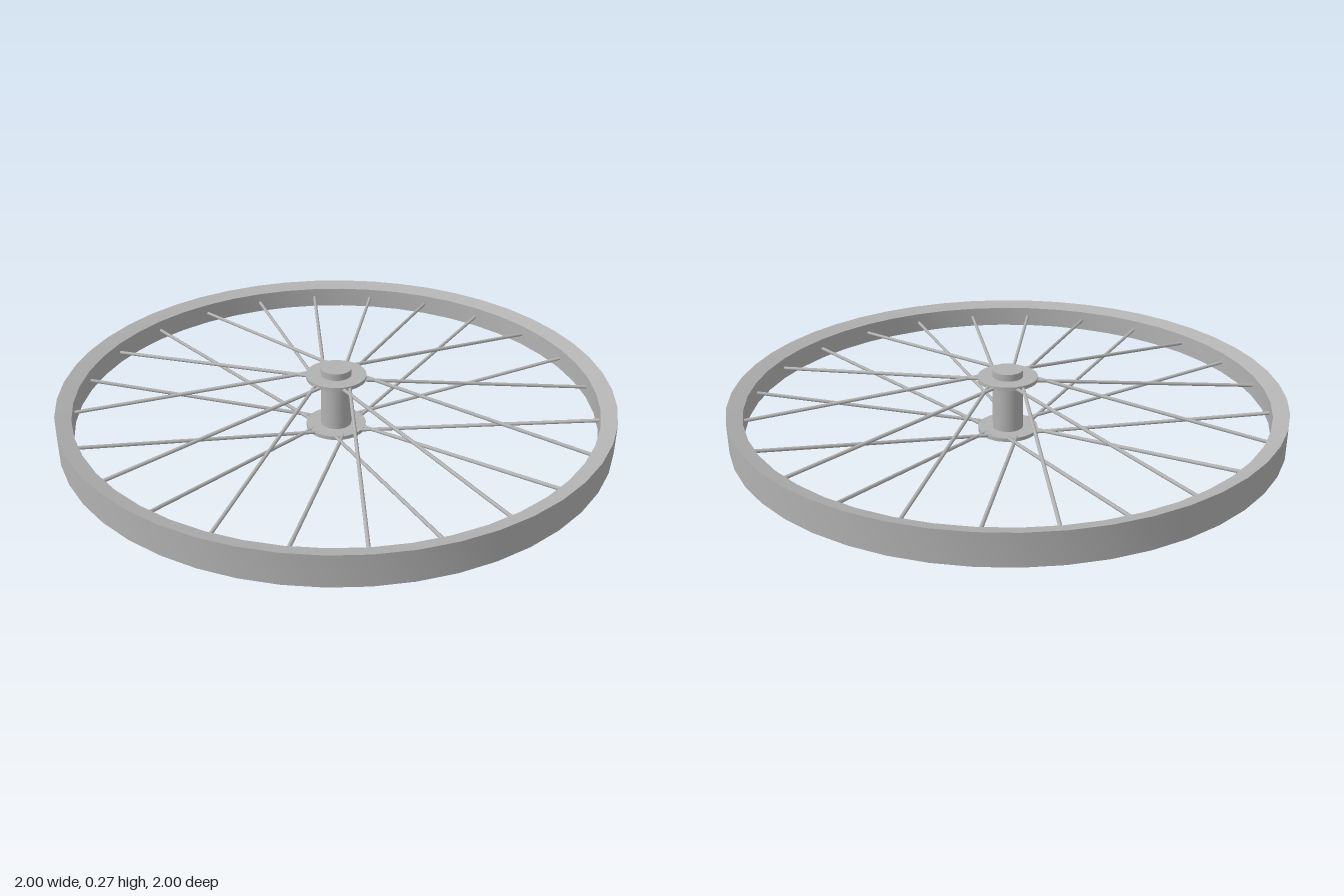
import * as THREE from 'three';
import { toCreasedNormals } from 'three/addons/utils/BufferGeometryUtils.js';

const MID = 0.133; // height of the wheel's middle plane

export function createModel() {
  const wheel = new THREE.Group();
  wheel.name = 'wheel';
  const metal = new THREE.MeshStandardMaterial({ color: 0xb2b2b2 });
  metal.name = 'grey metal';

  const add = (name, geometry, y = 0) => {
    const mesh = new THREE.Mesh(geometry, metal);
    mesh.name = name;
    mesh.position.y = y;
    wheel.add(mesh);
    return mesh;
  };

  // Rim: a trapezoid section, narrower towards the hub
  const section = [[0.944, -0.04], [1, -0.057], [1, 0.057], [0.944, 0.04], [0.944, -0.04]]
    .map(([r, y]) => new THREE.Vector2(r, y));
  add('rim', toCreasedNormals(new THREE.LatheGeometry(section, 48), 0.25), MID);

  // Hub: axle barrel with a thin flange near each end
  add('hubBarrel', new THREE.CylinderGeometry(0.056, 0.056, MID * 2, 32), MID);
  for (const side of [1, -1]) {
    add(side > 0 ? 'upperFlange' : 'lowerFlange',
      new THREE.CylinderGeometry(0.11, 0.11, 0.014, 32), MID + side * 0.1);
  }

  // Spokes: alternate between flanges, laced in crossing pairs
  const polar = (r, a, y) => new THREE.Vector3(r * Math.cos(a), y, -r * Math.sin(a));
  const up = new THREE.Vector3(0, 1, 0);
  for (let k = 0; k < 24; k++) {
    const angle = k * Math.PI / 12;
    const lean = (k % 4 === 1 || k % 4 === 2 ? 1 : -1) * Math.PI / 6;
    const side = k % 2 === 0 ? 1 : -1;
    const outer = polar(0.95, angle, MID);
    const inner = polar(0.08, angle + lean, MID + side * 0.1);
    const dir = outer.clone().sub(inner);
    const spoke = add('spoke', new THREE.CylinderGeometry(0.0065, 0.0065, dir.length(), 10));
    spoke.position.copy(inner).add(outer).multiplyScalar(0.5);
    spoke.quaternion.setFromUnitVectors(up, dir.normalize());
  }
  return wheel;
}
